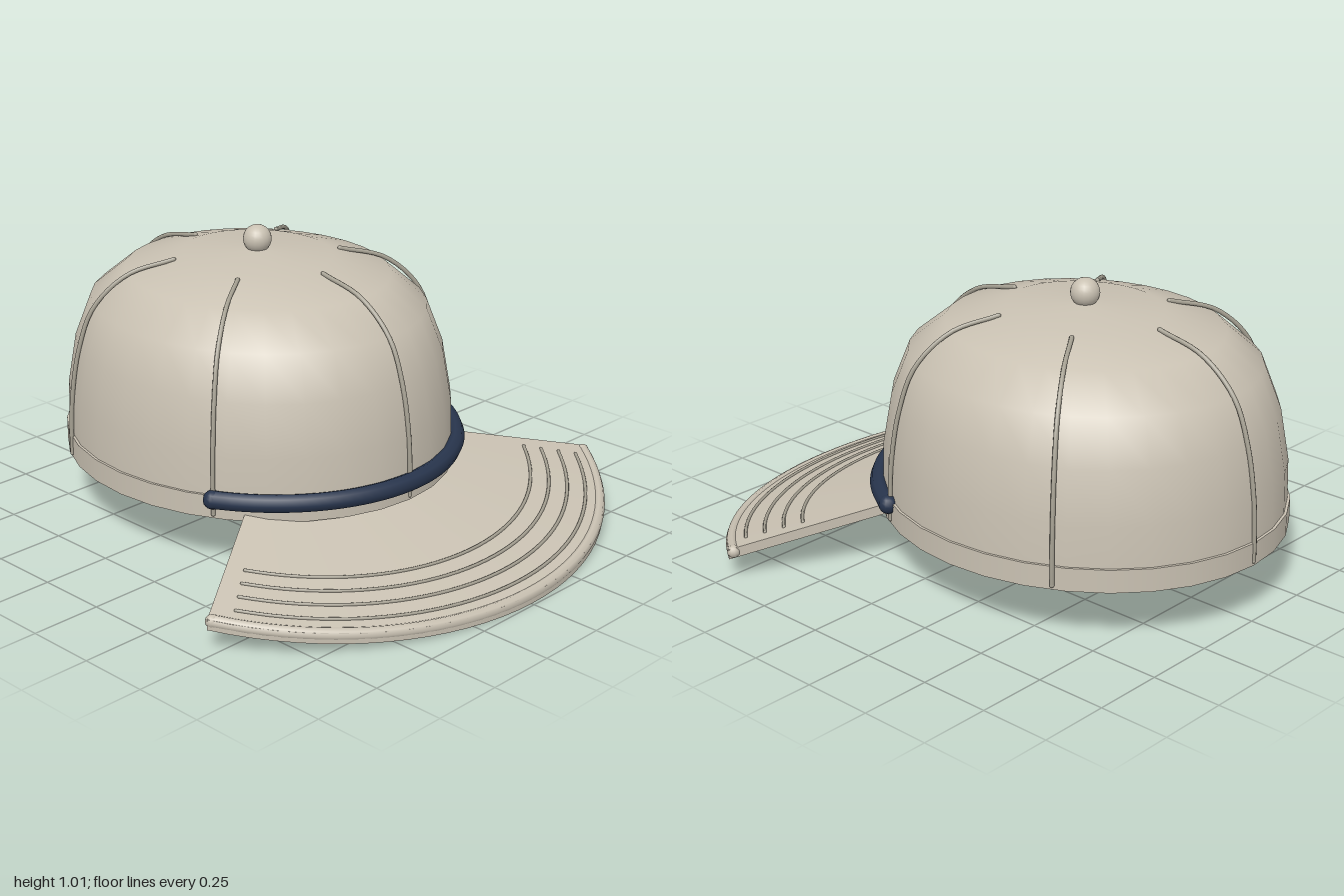
import * as THREE from 'three';

const fabric = new THREE.MeshStandardMaterial({ color: 0xc9c1b2 });
fabric.name = 'beige fabric';
const thread = new THREE.MeshStandardMaterial({ color: 0xa5a092 });
thread.name = 'grey thread';
const navy = new THREE.MeshStandardMaterial({ color: 0x28354d });
navy.name = 'navy cord';

const CROWN_Z = -0.27;   // centre of the oval crown
const OVAL = 1.112;      // crown depth relative to its width
const BRIM_Z = -0.155;   // centre of the brim arcs
const BRIM_ANGLE = 0.985;

function add(group, name, geometry, material) {
  const mesh = new THREE.Mesh(geometry, material);
  mesh.name = name;
  group.add(mesh);
  return mesh;
}

// Point on the oval crown at a given angle from the front
const onCrown = (r, y, a) =>
  new THREE.Vector3(r * Math.sin(a), y, CROWN_Z + r * OVAL * Math.cos(a));

// Point on the drooping brim, whose sides lift a little
function onBrim(r, a, lift = 0) {
  const k = (a / BRIM_ANGLE) ** 2;
  const y = 0.2 + 0.035 * k - (r - 0.46) * (0.267 - 0.062 * k) + lift;
  return new THREE.Vector3(r * Math.sin(a), y, BRIM_Z + r * Math.cos(a));
}

function arc(fn, limit, n = 24) {
  return Array.from({ length: n + 1 }, (_, i) => fn(limit * (2 * i / n - 1)));
}

// Tube with rounded ends
function cappedTube(group, name, points, radius, material, steps = 40) {
  const curve = new THREE.CatmullRomCurve3(points);
  add(group, name, new THREE.TubeGeometry(curve, steps, radius, 8), material);
  for (const p of [points[0], points[points.length - 1]]) {
    add(group, name + 'End', new THREE.SphereGeometry(radius * 1.02, 12, 8), material).position.copy(p);
  }
}

export function createModel() {
  const cap = new THREE.Group();
  cap.name = 'cap';

  // Crown dome
  const profile = [[0.648, 0.21], [0.643, 0.42], [0.613, 0.6], [0.558, 0.75],
    [0.44, 0.855], [0.25, 0.912], [0, 0.928]].map(([x, y]) => new THREE.Vector2(x, y));
  const dome = new THREE.LatheGeometry(profile, 32);
  dome.scale(1, 1, OVAL);
  add(cap, 'crown', dome, fabric).position.z = CROWN_Z;

  // Band around the opening, closed underneath
  const band = new THREE.CylinderGeometry(0.655, 0.655, 0.08, 32);
  band.scale(1, 1, OVAL);
  add(cap, 'band', band, fabric).position.set(0, 0.24, CROWN_Z);

  // Button on top
  add(cap, 'button', new THREE.SphereGeometry(0.05, 20, 14), fabric).position.set(0, 0.96, CROWN_Z);

  // Six raised panel seams
  const seam = [[0.286, 0.905], [0.445, 0.86], [0.562, 0.75], [0.617, 0.6],
    [0.646, 0.42], [0.653, 0.28], [0.653, 0.215]];
  for (let i = 0; i < 6; i++) {
    const path = seam.map(([r, y]) => onCrown(r, y, i * Math.PI / 3));
    cappedTube(cap, 'panelSeam', path, 0.008, thread, 28);
  }

  // Cord across the front
  cappedTube(cap, 'cord', arc(a => onCrown(0.66, 0.27, a), Math.PI / 3), 0.032, navy);

  // Brim: a box bent into a drooping sector
  const brim = new THREE.BoxGeometry(1, 1, 1, 32, 1, 8);
  const pos = brim.attributes.position;
  for (let i = 0; i < pos.count; i++) {
    const r = 0.46 + (pos.getZ(i) + 0.5) * 0.685;
    const p = onBrim(r, pos.getX(i) * 2 * BRIM_ANGLE, pos.getY(i) * 0.036);
    pos.setXYZ(i, p.x, p.y, p.z);
  }
  brim.computeVertexNormals();
  add(cap, 'brim', brim, fabric);

  // Rolled brim edge
  cappedTube(cap, 'brimEdge', arc(a => onBrim(1.127, a, 0.003), 0.975), 0.022, fabric);

  // Stitch rows on the brim
  for (let i = 0; i < 4; i++) {
    const row = arc(a => onBrim(0.885 + i * 0.065, a, 0.019), 0.915);
    cappedTube(cap, 'brimStitch', row, 0.006, thread);
  }
  return cap;
}
